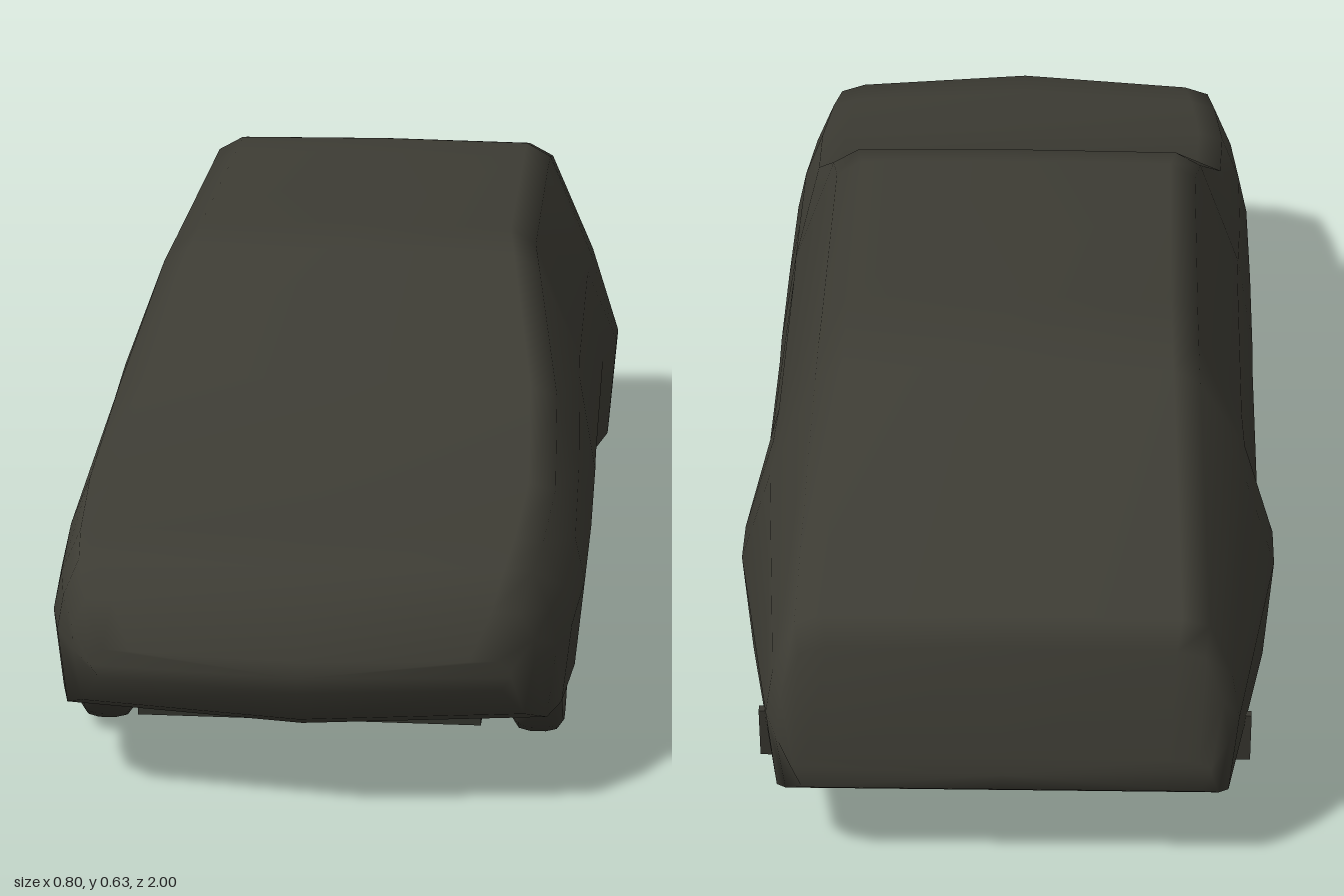
import * as THREE from 'three';

const mat = (name, color, side = THREE.FrontSide) => {
  const m = new THREE.MeshStandardMaterial({ color, side });
  m.name = name;
  return m;
};

export function createModel() {
  const car = new THREE.Group();
  car.name = 'coveredCar';
  const cover = mat('olive cover cloth', 0x3d3c34, THREE.DoubleSide);
  const rubber = mat('tyre rubber', 0x383730);
  const alloy = mat('tan wheel metal', 0x7f6e5d);
  const rust = mat('red brown exhaust', 0x542c27);
  const under = mat('dark underbody', 0x31332d);
  const sillPaint = mat('tan sill', 0x7c6b59);

  const add = (name, geo, material, x = 0, y = 0, z = 0, parent = car) => {
    const m = new THREE.Mesh(geo, material);
    m.name = name;
    m.position.set(x, y, z);
    parent.add(m);
    return m;
  };
  const box = (name, w, h, d, material, x, y, z) => add(name, new THREE.BoxGeometry(w, h, d), material, x, y, z);
  const tube = (name, pts, r, material) => add(name, new THREE.TubeGeometry(
    new THREE.CatmullRomCurve3(pts.map(p => new THREE.Vector3(...p)), false, 'catmullrom', 0.2), 30, r, 8), material);

  // Draped cover stations: z, hem height, waist half-width and height, shoulder and roof half-widths, roof height
  const stations = [
    [1, .205, .30, .222, .30, .28, .25],
    [.97, .155, .33, .23, .33, .31, .312],
    [.92, .13, .36, .24, .35, .325, .36],
    [.82, .122, .378, .24, .365, .335, .375],
    [.62, .118, .39, .25, .375, .345, .40],
    [.37, .118, .39, .25, .37, .335, .47],
    [.13, .118, .387, .26, .36, .295, .61],
    [.05, .118, .385, .26, .357, .285, .63],
    [-.4, .118, .38, .28, .352, .282, .631],
    [-.5, .118, .40, .285, .354, .282, .63],
    [-.58, .118, .40, .28, .354, .283, .61],
    [-.95, .125, .34, .25, .328, .295, .415],
    [-.98, .14, .325, .23, .316, .288, .38],
    [-1, .155, .30, .185, .30, .28, .207]
  ];
  const pos = [], idx = [], n = 12;
  for (const [z, hemY, waist, waistY, shoulder, edge, top] of stations) {
    const rise = top - waistY;
    const half = [[waist - .013, hemY], [waist, waistY], [shoulder, waistY + .44 * rise],
      [edge, top - .065 * rise], [edge - .04, top]];
    const ring = [...half, [0, top + .003], ...half.slice().reverse().map(([x, y]) => [-x, y]), [0, hemY]];
    // The nose curves back towards its corners
    const bend = .5 * THREE.MathUtils.smoothstep(z, .6, 1);
    for (const [x, y] of ring) pos.push(x, y, z - bend * x * x);
  }
  const last = stations.length - 1;
  for (let i = 0; i < last; i++) {
    for (let j = 0; j < n; j++) {
      // The cover is open underneath except where it wraps the two ends
      if (j >= 10 && i > 1 && i < last - 2) continue;
      const a = i * n + j, b = i * n + (j + 1) % n;
      idx.push(a, a + n, b, b, a + n, b + n);
    }
  }
  // Both ends close on a centre point
  const nose = pos.length / 3, tail = nose + 1;
  pos.push(0, .228, 1, 0, .18, -1);
  for (let j = 0; j < n; j++) {
    const k = (j + 1) % n;
    idx.push(nose, j, k, tail, last * n + k, last * n + j);
  }
  const cloth = new THREE.BufferGeometry();
  cloth.setAttribute('position', new THREE.Float32BufferAttribute(pos, 3));
  cloth.setIndex(idx);
  cloth.computeVertexNormals();
  add('cover', cloth, cover);

  // Wheels: rounded tyre, disc with a ring of holes, hub cap
  const tyreProfile = [[.078, -.034], [.112, -.038], [.126, -.028], [.13, -.012], [.13, .012],
    [.126, .028], [.112, .038], [.078, .034], [.078, -.034]].map(p => new THREE.Vector2(...p));
  const tyre = new THREE.LatheGeometry(tyreProfile, 28);
  const disc = new THREE.Shape().absarc(0, 0, .08, 0, Math.PI * 2);
  for (let k = 0; k < 10; k++) {
    const a = k * Math.PI / 5;
    disc.holes.push(new THREE.Path().absarc(.056 * Math.cos(a), .056 * Math.sin(a), .01, 0, Math.PI * 2, true));
  }
  const discGeo = new THREE.ExtrudeGeometry(disc, { depth: .01, bevelEnabled: false, curveSegments: 12 });
  for (const side of [1, -1]) {
    for (const z of [.58, -.61]) {
      const wheel = new THREE.Group();
      wheel.name = 'wheel';
      wheel.position.set(side * .324, .133, z);
      wheel.rotation.y = side * Math.PI / 2;
      car.add(wheel);
      add('tyre', tyre, rubber, 0, 0, 0, wheel).rotation.x = Math.PI / 2;
      add('wheelDisc', discGeo, alloy, 0, 0, .014, wheel);
      add('brakeDrum', new THREE.CylinderGeometry(.072, .072, .03, 20), under, 0, 0, -.006, wheel).rotation.x = Math.PI / 2;
      add('hubCap', new THREE.CylinderGeometry(.022, .028, .014, 16), alloy, 0, 0, .03, wheel).rotation.x = Math.PI / 2;
    }
    // Mud flaps, sills, inner wings and chassis rails
    box('frontMudFlap', .125, .075, .012, rubber, side * .302, .098, .425);
    box('rearMudFlap', .125, .085, .012, rubber, side * .302, .1, -.775).rotation.x = -.12;
    box('sill', .03, .05, .84, under, side * .328, .138, -.01);
    box('sillPanel', .006, .09, .84, sillPaint, side * .346, .16, -.01);
    box('innerWing', .008, .03, .12, sillPaint, side * .27, .137, .77);
    box('chassisRail', .05, .025, .5, under, side * .17, .115, .15);
    box('frontRail', .04, .03, .3, under, side * .2, .15, .7);
    tube('trailingArm', [[side * .12, .125, -.3], [side * .2, .12, -.45], [side * .28, .13, -.6]], .014, under);
  }

  // Floor pan and valance
  box('floorPan', .64, .02, .84, under, 0, .135, -.01);
  box('engineBayFloor', .5, .02, .5, under, 0, .165, .64);
  box('bootFloor', .52, .02, .5, under, 0, .165, -.67);
  box('frontValance', .5, .03, .05, under, 0, .112, .8);
  box('transmissionTunnel', .1, .02, .7, under, 0, .126, 0);

  // Axles, crossmember and engine sump
  for (const z of [.58, -.61]) {
    add('axle', new THREE.CylinderGeometry(.016, .016, .6, 10), under, 0, .13, z).rotation.z = Math.PI / 2;
  }
  box('frontCrossmember', .46, .025, .06, under, 0, .12, .5);
  add('engineSump', new THREE.CylinderGeometry(.07, .05, .05, 12), under, -.02, .125, .66);

  // Exhaust run with silencers, fuel tank and floor plate
  tube('exhaustPipe', [[.1, .13, .64], [.13, .12, .55], [.04, .113, .32], [0, .113, .1], [0, .113, -.27],
    [.18, .125, -.5], [.22, .135, -.68], [.2, .135, -.93]], .01, rust);
  const silencer = new THREE.CapsuleGeometry(.022, .13, 4, 12);
  add('middleSilencer', silencer, rust, 0, .118, .03).rotation.x = Math.PI / 2;
  add('rearSilencer', silencer, rust, .205, .142, -.83).rotation.x = Math.PI / 2;
  box('fuelTank', .2, .03, .16, rust, -.09, .142, -.46);
  box('floorPlate', .07, .012, .2, rust, -.25, .122, .2);

  return car;
}
